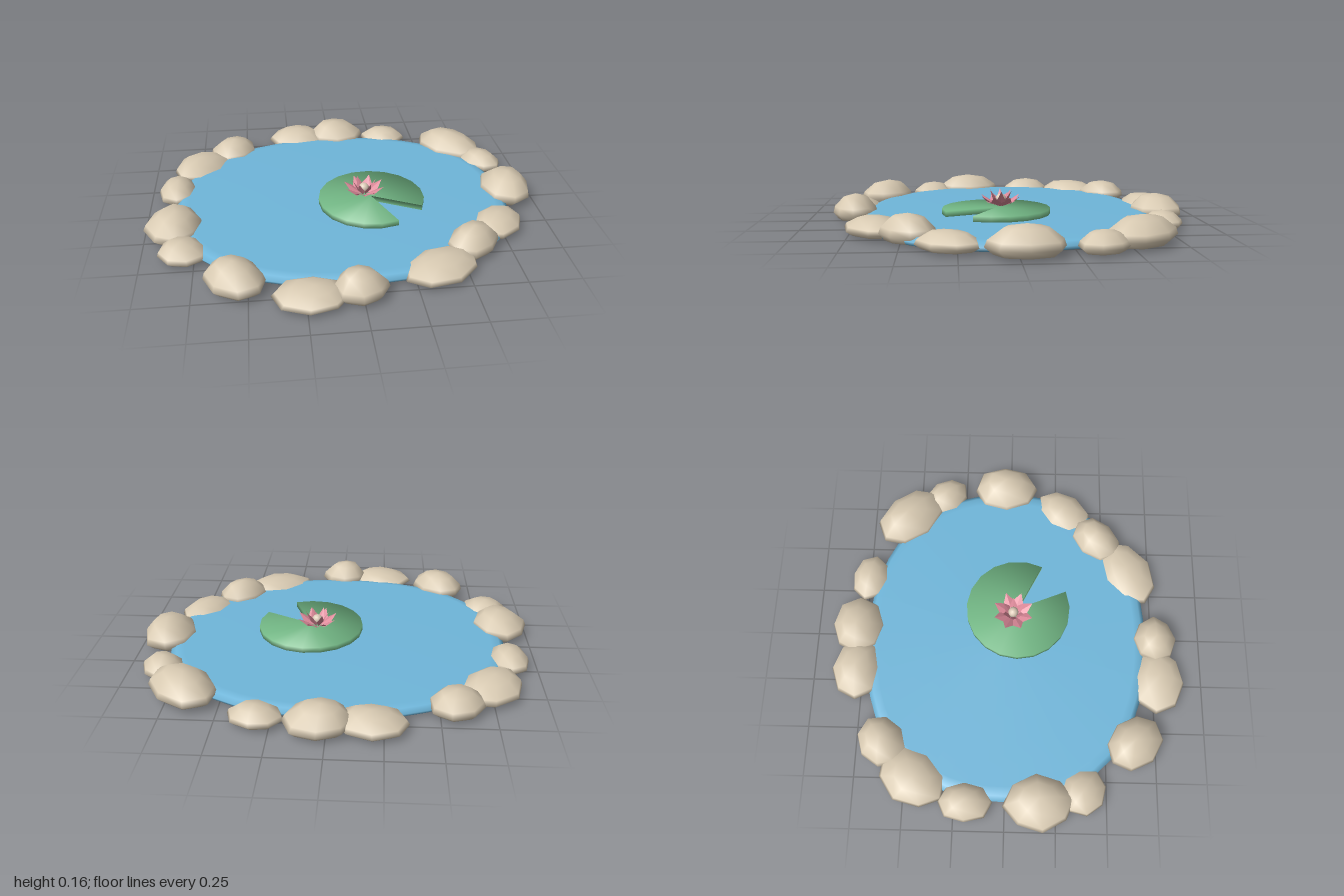
import * as THREE from 'three';
import { mergeVertices } from 'three/addons/utils/BufferGeometryUtils.js';

const mat = (name, color, side = THREE.FrontSide) => {
  const m = new THREE.MeshStandardMaterial({ color, side });
  m.name = name;
  return m;
};

// Small seeded generator for the uneven stones
let seed = 7;
const rand = () => (seed = (seed * 16807) % 2147483647) / 2147483647;

// Revolves a profile, reshapes it by a rule and gives it smooth normals
function smoothLathe(profile, segments, rule) {
  const g = new THREE.LatheGeometry(profile.map(([r, y]) => new THREE.Vector2(r, y)), segments);
  const p = g.attributes.position;
  for (let i = 0; i < p.count; i++) {
    const ring = Math.floor(i / profile.length) % segments;
    const [x, y, z] = rule(p.getX(i), p.getY(i), p.getZ(i), ring);
    p.setXYZ(i, x, y, z);
  }
  g.deleteAttribute('uv');
  g.deleteAttribute('normal');
  const merged = mergeVertices(g, 1e-5);
  merged.computeVertexNormals();
  return merged;
}

// Squashed eight-sided stone
function stoneGeometry(rx, rz, h) {
  const profile = [[0, 0.06], [0.78, 0.07], [1, 0.3], [0.93, 0.52], [0.55, 0.88], [0, 1]];
  const bumps = Array.from({ length: 8 }, () => 0.95 + 0.1 * rand());
  const lean = (rand() - 0.5) * 0.25;
  return smoothLathe(profile, 8, (x, y, z, k) =>
    [(x * bumps[k] + lean * y * y) * rx, y * h, z * bumps[k] * rz]);
}

// Round leaf with a wedge cut out and a softly shaded rim
function padGeometry(radius, y0, y1) {
  const n = 17, start = 68 * Math.PI / 180, sweep = 319 * Math.PI / 180;
  const pos = [0, y1, 0, 0, y0, 0], nor = [0, 1, 0, 0, -1, 0], idx = [];
  for (let i = 0; i <= n; i++) {
    const a = start + sweep * i / n, c = Math.cos(a), s = Math.sin(a);
    pos.push(c * radius, y1, s * radius, c * radius, y0, s * radius);
    nor.push(c * 0.7, 0.7, s * 0.7, c * 0.7, -0.7, s * 0.7);
    if (i < n) {
      const t = 2 + i * 2, b = t + 1, t2 = t + 2, b2 = t + 3;
      idx.push(0, t2, t, 1, b, b2, t, t2, b2, t, b2, b);
    }
  }
  // Walls of the wedge
  const e = 2 + n * 2;
  idx.push(0, 2, 3, 0, 3, 1, 0, e + 1, e, 0, 1, e + 1);
  const g = new THREE.BufferGeometry();
  g.setAttribute('position', new THREE.Float32BufferAttribute(pos, 3));
  g.setAttribute('normal', new THREE.Float32BufferAttribute(nor, 3));
  g.setIndex(idx);
  return g;
}

// Pointed petal folded along its middle, growing towards +x
function petalGeometry(base, mid, w, midY, tip, tipY) {
  const g = new THREE.BufferGeometry();
  const B = [base, 0, 0], T = [tip, tipY, 0], L = [mid, midY, -w], R = [mid, midY, w];
  g.setAttribute('position', new THREE.Float32BufferAttribute([B, T, L, B, R, T].flat(), 3));
  g.computeVertexNormals();
  return g;
}

export function createModel() {
  const root = new THREE.Group();
  root.name = 'lilyPond';
  const water = mat('waterBlue', 0x6fb6da);
  const stone = mat('stoneBeige', 0xd8cab2);
  const leaf = mat('leafGreen', 0x72b684);
  const pink = mat('petalPink', 0xdd8a9a, THREE.DoubleSide);
  const cream = mat('flowerCream', 0xdccbb8);
  const add = (parent, name, geo, m, x = 0, y = 0, z = 0) => {
    const mesh = new THREE.Mesh(geo, m);
    mesh.name = name;
    mesh.position.set(x, y, z);
    parent.add(mesh);
    return mesh;
  };

  // Slightly squared oval of water with a rounded rim
  const waterProfile = [[0, 0], [0.93, 0], [0.985, 0.012], [1, 0.03], [0.97, 0.047], [0.92, 0.054], [0, 0.055]];
  add(root, 'water', smoothLathe(waterProfile, 48, (x, y, z) => {
    const a = Math.atan2(z, x), e = 2.3;
    const k = (Math.abs(Math.cos(a)) ** e + Math.abs(Math.sin(a)) ** e) ** (-1 / e);
    return [x * k * 0.85, y, z * k * 0.725];
  }), water, -0.01, 0, -0.01);

  // Ring of stones: x, z, half length, half width, height, turn
  const stones = [
    [-0.20, -0.775, 0.165, 0.125, 0.10, 0], [0.04, -0.785, 0.155, 0.135, 0.13, 0],
    [0.315, -0.745, 0.125, 0.10, 0.09, -0.2], [0.68, -0.55, 0.20, 0.14, 0.135, -0.75],
    [0.815, -0.36, 0.125, 0.10, 0.10, -0.9], [0.86, -0.03, 0.135, 0.175, 0.14, 0.05],
    [0.73, 0.29, 0.165, 0.12, 0.09, 0.9], [0.56, 0.47, 0.145, 0.11, 0.135, 0.8],
    [0.37, 0.63, 0.20, 0.135, 0.09, 0.5], [-0.01, 0.76, 0.125, 0.11, 0.138, 0],
    [-0.23, 0.775, 0.17, 0.13, 0.085, -0.1], [-0.555, 0.64, 0.16, 0.125, 0.137, -0.8],
    [-0.80, 0.385, 0.12, 0.11, 0.09, -0.6], [-0.863, 0.17, 0.138, 0.175, 0.128, 0.12],
    [-0.865, -0.195, 0.10, 0.135, 0.10, 0], [-0.745, -0.465, 0.185, 0.135, 0.10, 0.95],
    [-0.58, -0.615, 0.135, 0.115, 0.12, 0.6],
  ];
  const ring = new THREE.Group();
  ring.name = 'stoneRing';
  root.add(ring);
  stones.forEach(([x, z, rx, rz, h, turn], i) => {
    add(ring, `stone${i + 1}`, stoneGeometry(rx, rz, h), stone, x, 0, z).rotation.y = turn;
  });

  // Floating leaf
  add(root, 'lilyPad', padGeometry(0.27, 0.05, 0.082), leaf, 0.135, 0, 0.05);

  // Flower: open outer petals, upright inner petals, round heart
  const flower = new THREE.Group();
  flower.name = 'flower';
  flower.position.set(0.1, 0.084, 0.025);
  root.add(flower);
  const outer = petalGeometry(0.012, 0.06, 0.032, 0.02, 0.105, 0.055);
  const inner = petalGeometry(0.01, 0.034, 0.02, 0.035, 0.06, 0.08);
  for (let i = 0; i < 8; i++) {
    add(flower, 'outerPetal', outer, pink).rotation.y = (i + 0.5) * Math.PI / 4;
    if (i < 6) add(flower, 'innerPetal', inner, pink).rotation.y = i * Math.PI / 3;
  }
  add(flower, 'flowerHeart', new THREE.SphereGeometry(0.027, 12, 8), cream, 0, 0.035, 0);

  return root;
}
